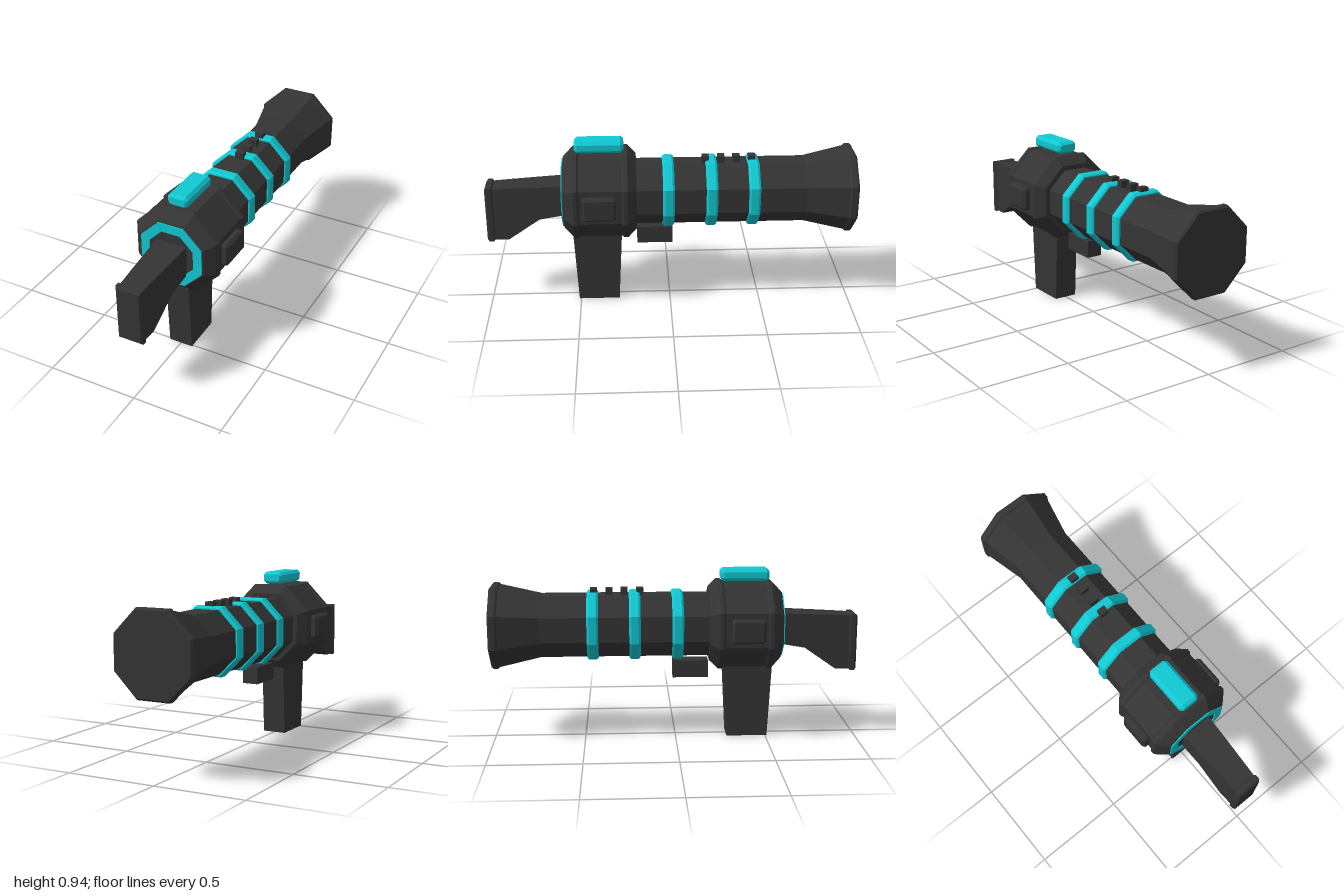
import * as THREE from 'three';

const AXIS_Y = 0.63;
const FLAT = 1 / Math.cos(Math.PI / 8); // octagon flat distance to corner radius

const dark = new THREE.MeshStandardMaterial({ color: 0x343434 });
dark.name = 'charcoal';
const cyan = new THREE.MeshStandardMaterial({ color: 0x10c8d2 });
cyan.name = 'cyan';

// Hard-edged normals
function faceted(geometry) {
  const g = geometry.index ? geometry.toNonIndexed() : geometry;
  g.computeVertexNormals();
  return g;
}

// Octagonal turned part along z; profile holds [flat distance, z] with z rising
function octagon(profile) {
  const pts = profile.map(([r, z]) => new THREE.Vector2(r * FLAT, z));
  const g = new THREE.LatheGeometry(pts, 8, Math.PI / 8);
  g.rotateX(Math.PI / 2).translate(0, AXIS_Y, 0);
  return faceted(g);
}

// Box with every edge chamfered by c
function chamferBox(w, h, d, c) {
  const x = w / 2, y = h / 2;
  const s = new THREE.Shape([
    [x - c, -y], [x, -y + c], [x, y - c], [x - c, y],
    [-x + c, y], [-x, y - c], [-x, -y + c], [-x + c, -y],
  ].map(([a, b]) => new THREE.Vector2(a, b)));
  const g = new THREE.ExtrudeGeometry(s, {
    depth: d - 2 * c, bevelEnabled: true, bevelSegments: 1,
    bevelThickness: c, bevelSize: c * 0.8, bevelOffset: -c * 0.8,
  });
  g.translate(0, 0, -d / 2 + c);
  return faceted(g);
}

// Loft of rectangles along z; sections are [z, half width, bottom, top]
function loft(sections) {
  const pos = [], idx = [];
  for (const [z, w, b, t] of sections) pos.push(-w, b, z, w, b, z, w, t, z, -w, t, z);
  const last = (sections.length - 1) * 4;
  for (let s = 0; s < last; s += 4) {
    for (let i = 0; i < 4; i++) {
      const a = s + i, n = s + (i + 1) % 4;
      idx.push(a, n, n + 4, a, n + 4, a + 4);
    }
  }
  idx.push(0, 2, 1, 0, 3, 2, last, last + 1, last + 2, last, last + 2, last + 3);
  const g = new THREE.BufferGeometry();
  g.setAttribute('position', new THREE.Float32BufferAttribute(pos, 3));
  g.setIndex(idx);
  return faceted(g);
}

export function createModel() {
  const model = new THREE.Group();
  model.name = 'launcher';
  const add = (name, geometry, material, x = 0, y = 0, z = 0) => {
    const m = new THREE.Mesh(geometry, material);
    m.name = name;
    m.position.set(x, y, z);
    model.add(m);
    return m;
  };

  // Tube and flared end
  add('barrel', octagon([[0, -0.76], [0.165, -0.76], [0.165, 0.2], [0, 0.2]]), dark);
  add('flare', octagon([
    [0, -1], [0.213, -1], [0.222, -0.99], [0.222, -0.962], [0.213, -0.952],
    [0.163, -0.72], [0, -0.72],
  ]), dark);

  // Bands around the tube
  for (const z of [0.01, -0.222, -0.45]) {
    add('barrelBand', octagon([
      [0.16, z - 0.031], [0.172, z - 0.031], [0.181, z - 0.02],
      [0.181, z + 0.02], [0.172, z + 0.031], [0.16, z + 0.031],
    ]), cyan);
  }

  // Sight studs
  for (const z of [-0.192, -0.277, -0.36, -0.443]) {
    add('sightStud', faceted(new THREE.BoxGeometry(0.048, 0.045, 0.038)), dark, 0, 0.81, z);
  }

  // Housing with raised end bands
  add('housing', octagon([
    [0, 0.182], [0.19, 0.182], [0.228, 0.222], [0.235, 0.23], [0.235, 0.25],
    [0.226, 0.262], [0.226, 0.488], [0.235, 0.498], [0.235, 0.518],
    [0.226, 0.53], [0.182, 0.575], [0.175, 0.578], [0, 0.578],
  ]), dark);
  add('frontRing', octagon([
    [0.125, 0.57], [0.173, 0.57], [0.173, 0.584], [0.125, 0.584], [0.125, 0.57],
  ]), cyan);

  // Side panels: rim and raised centre
  for (const side of [-1, 1]) {
    add('sidePanel', chamferBox(0.045, 0.13, 0.178, 0.012), dark, side * 0.24, AXIS_Y, 0.382);
    add('sidePanelPlate', faceted(new THREE.BoxGeometry(0.008, 0.096, 0.142)), dark,
      side * 0.2605, AXIS_Y, 0.382);
  }

  // Top pod
  add('topPod', chamferBox(0.116, 0.065, 0.264, 0.016), cyan, 0, 0.9025, 0.38);

  // Stock and butt pad
  add('stock', loft([
    [0.56, 0.086, 0.53, 0.697], [0.71, 0.078, 0.502, 0.69],
    [0.885, 0.067, 0.378, 0.682], [0.97, 0.062, 0.378, 0.677],
  ]), dark);
  add('buttPad', loft([
    [0.957, 0.062, 0.38, 0.675], [0.965, 0.07, 0.371, 0.685],
    [0.99, 0.07, 0.371, 0.685], [1, 0.062, 0.382, 0.673],
  ]), dark);

  // Tapered grip, lofted upward then stood on its end
  const grip = loft([[0, 0.067, -0.51, -0.285], [0.4, 0.067, -0.532, -0.265]]);
  grip.rotateX(-Math.PI / 2);
  add('grip', grip, dark);

  // Block under the tube
  add('underBlock', faceted(new THREE.BoxGeometry(0.09, 0.095, 0.195)), dark, 0, 0.3825, 0.083);

  return model;
}
